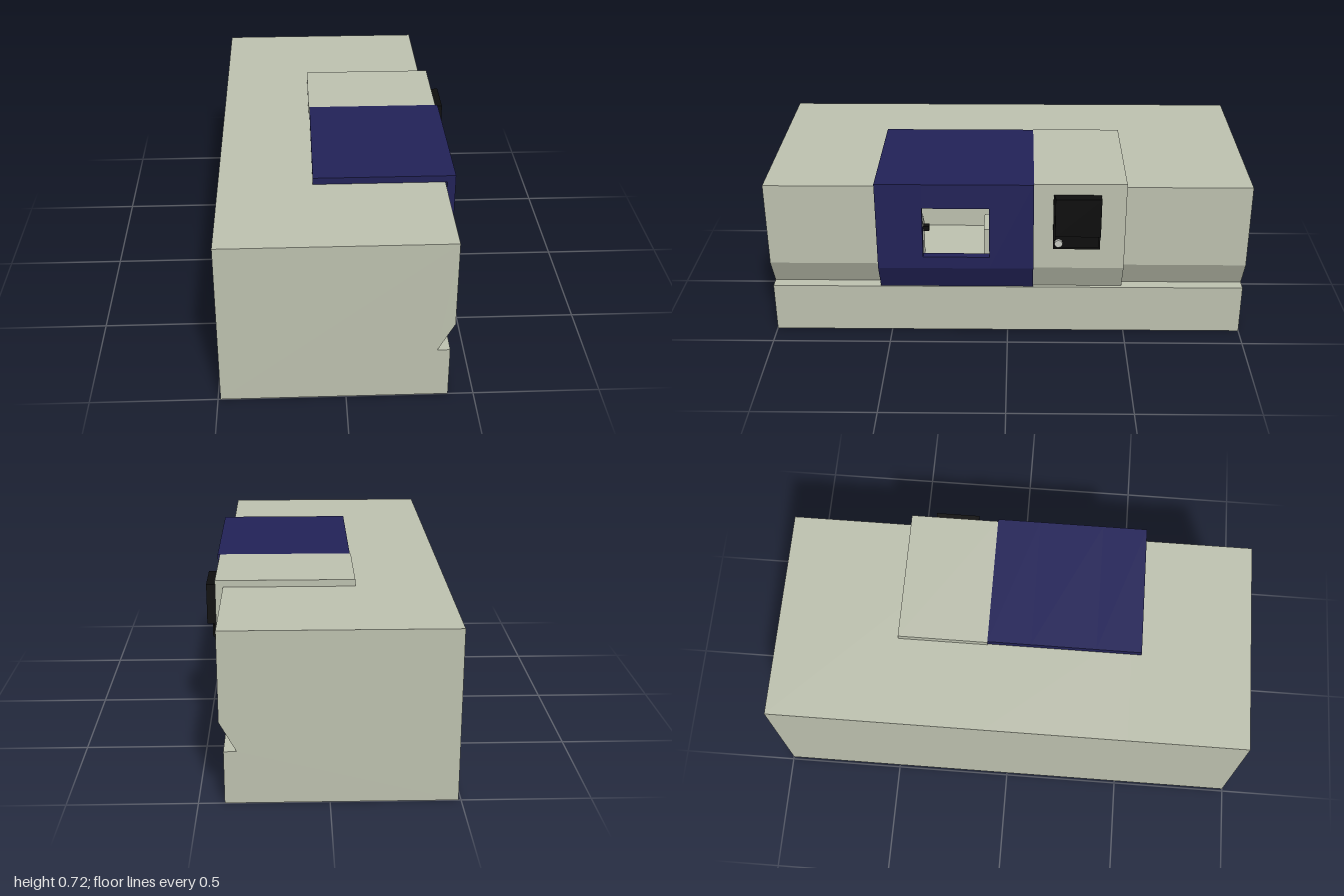
import * as THREE from 'three';

const mat = (name, color) => Object.assign(new THREE.MeshStandardMaterial({ color }), { name });

export function createModel() {
  const beige = mat('beigePaint', 0xbbbfad);
  const navy = mat('navyPaint', 0x222257);
  const black = mat('blackPlastic', 0x0d0d0d);
  const steel = mat('lightSteel', 0xc6c8c0);
  const model = new THREE.Group();
  model.name = 'machineTool';

  const group = (name) => {
    const g = new THREE.Group();
    g.name = name;
    model.add(g);
    return g;
  };
  // Extrude an x/y profile between two z positions
  const slab = (parent, name, points, z0, z1, material) => {
    const shape = new THREE.Shape(points.map(([x, y]) => new THREE.Vector2(x, y)));
    const geo = new THREE.ExtrudeGeometry(shape, { depth: z1 - z0, bevelEnabled: false });
    const mesh = new THREE.Mesh(geo.translate(0, 0, z0), material);
    mesh.name = name;
    parent.add(mesh);
  };
  // Box given by its limits on each axis
  const box = (parent, name, x0, x1, y0, y1, z0, z1, material) => {
    const mesh = new THREE.Mesh(new THREE.BoxGeometry(x1 - x0, y1 - y0, z1 - z0), material);
    mesh.position.set((x0 + x1) / 2, (y0 + y1) / 2, (z0 + z1) / 2);
    mesh.name = name;
    parent.add(mesh);
  };

  // Cabinet: solid ends and a middle hollowed out for the work chamber
  const cabinet = group('cabinet');
  const base = [[-0.49, 0], [0.4, 0], [0.4, 0.215], [0.35, 0.215]];
  const full = [...base, [0.415, 0.335], [0.415, 0.695], [-0.49, 0.695]];
  const hollow = [...base, [0.396, 0.3], [0, 0.3], [0, 0.695], [-0.49, 0.695]];
  slab(cabinet, 'cabinetRear', full, -1, -0.1, beige);
  slab(cabinet, 'cabinetChamber', hollow, -0.1, 0.5, beige);
  slab(cabinet, 'cabinetFront', full, 0.5, 1, beige);

  // Fixed cover beside the door
  slab(model, 'sideCover', [
    [-0.117, 0.695], [0.415, 0.695], [0.415, 0.335], [0.35, 0.215], [0.384, 0.215],
    [0.447, 0.337], [0.447, 0.723], [-0.117, 0.723],
  ], -0.485, -0.108, beige);

  // Sliding door with its window opening
  const door = group('door');
  const roof = [[0.457, 0.723], [-0.113, 0.723], [-0.113, 0.695], [0.423, 0.695]];
  const foot = [[0.423, 0.337], [0.36, 0.215], [0.395, 0.215], [0.457, 0.337]];
  slab(door, 'doorRearPart', [...roof, ...foot], -0.108, 0.075, navy);
  slab(door, 'doorAboveWindow', [...roof, [0.423, 0.615], [0.457, 0.615]], 0.075, 0.35, navy);
  slab(door, 'doorBelowWindow', [[0.457, 0.39], [0.423, 0.39], ...foot], 0.075, 0.35, navy);
  slab(door, 'doorFrontPart', [...roof, ...foot], 0.35, 0.54, navy);

  // Spindle and fittings inside the chamber
  const chamber = group('workChamber');
  const chuck = new THREE.Mesh(new THREE.CylinderGeometry(0.1, 0.1, 0.13, 32), beige);
  chuck.rotation.x = Math.PI / 2;
  chuck.position.set(0.18, 0.48, -0.035);
  chuck.name = 'chuck';
  chamber.add(chuck);
  box(chamber, 'toolRest', 0.22, 0.36, 0.3, 0.47, -0.1, 0.1, beige);
  box(chamber, 'toolTip', 0.27, 0.3, 0.43, 0.45, 0.335, 0.36, black);
  box(chamber, 'toolPost', 0.24, 0.33, 0.3, 0.47, 0.36, 0.48, beige);

  // Control panel with screen housing, keypad and knob
  const controls = group('controlPanel');
  box(controls, 'backPlate', 0.445, 0.461, 0.433, 0.675, -0.382, -0.188, black);
  box(controls, 'screenHousing', 0.455, 0.49, 0.505, 0.675, -0.382, -0.195, black);
  box(controls, 'keypad', 0.455, 0.468, 0.443, 0.495, -0.375, -0.195, black);
  const knob = new THREE.Mesh(new THREE.CylinderGeometry(0.016, 0.016, 0.018, 24), steel);
  knob.rotation.z = -Math.PI / 2;
  knob.position.set(0.472, 0.468, -0.21);
  knob.name = 'knob';
  controls.add(knob);

  return model;
}
